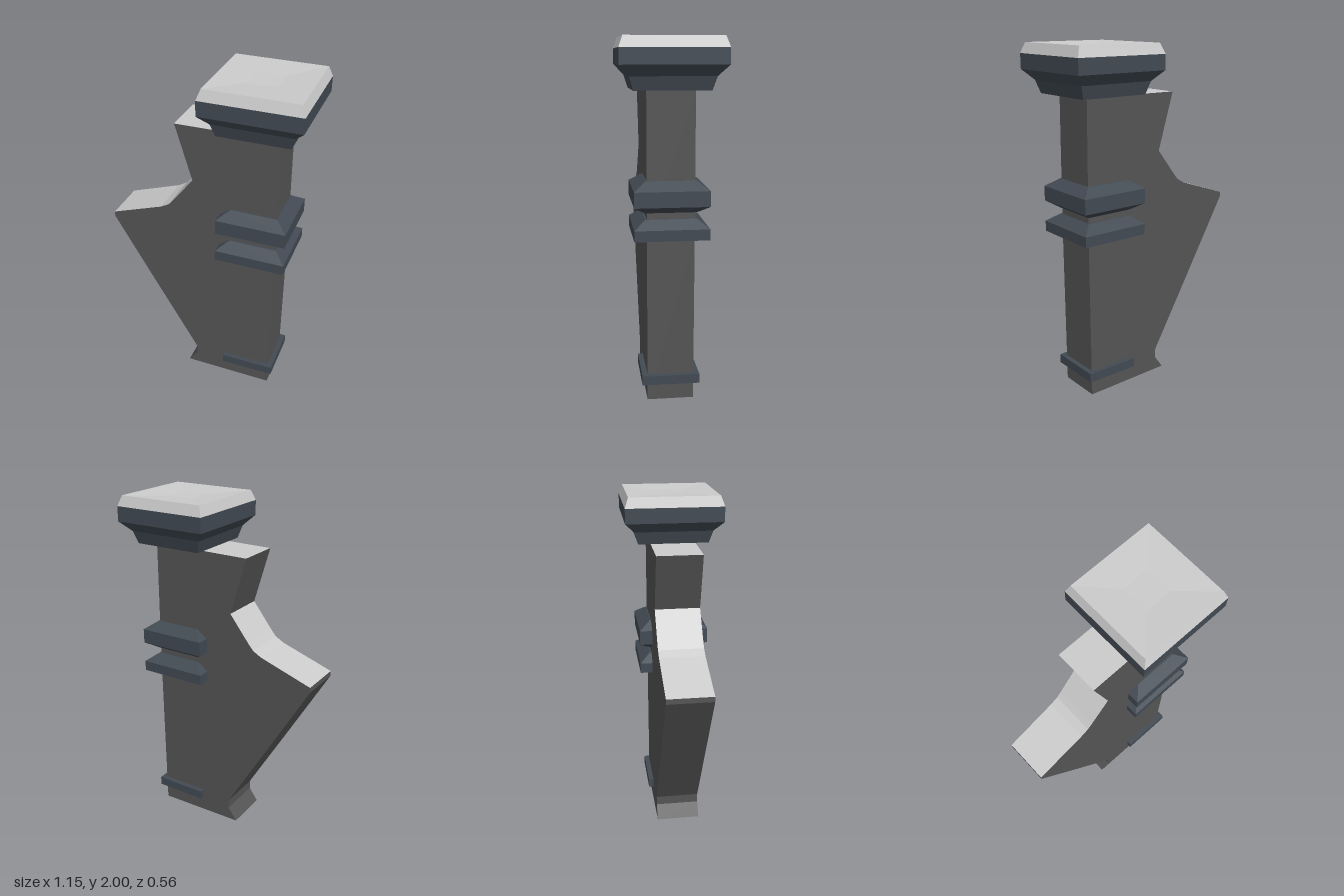
import * as THREE from 'three';

const material = (color) => new THREE.MeshStandardMaterial({ color, flatShading: true });
const COLUMN_X = 0.295;

// Square moulding from [half width, height] pairs, bottom to top
function squareMoulding(name, profile, mat) {
  const points = profile.map(([half, y]) => new THREE.Vector2(half * Math.SQRT2, y));
  const mesh = new THREE.Mesh(new THREE.LatheGeometry(points, 4, Math.PI / 4), mat);
  mesh.name = name;
  mesh.position.x = COLUMN_X;
  return mesh;
}

// Splits the triangles of a geometry into those that pass the test and the rest
function splitFaces(geometry, test) {
  const source = geometry.index ? geometry.toNonIndexed() : geometry;
  const pos = source.attributes.position;
  const lists = [[], []];
  const tri = new THREE.Triangle();
  const normal = new THREE.Vector3(), mid = new THREE.Vector3();
  for (let i = 0; i < pos.count; i += 3) {
    tri.setFromAttributeAndIndices(pos, i, i + 1, i + 2);
    tri.getNormal(normal);
    tri.getMidpoint(mid);
    const list = lists[test(normal, mid) ? 0 : 1];
    for (const p of [tri.a, tri.b, tri.c]) list.push(p.x, p.y, p.z);
  }
  return lists.map((list) => {
    const part = new THREE.BufferGeometry();
    part.setAttribute('position', new THREE.Float32BufferAttribute(list, 3));
    part.computeVertexNormals();
    return part;
  });
}

export function createModel() {
  const model = new THREE.Group();
  model.name = 'buttressPillar';
  const stone = material(0x555555);
  const ledge = material(0xcccccc);
  const trim = material(0x424a53);

  // Pillar with its stepped buttress, one flat slab
  const outline = [
    [0.425, 0], [0.43, 0.95], [0.425, 1.725], [-0.17, 1.72], [-0.07, 1.39],
    [-0.19, 1.235], [-0.22, 1.2], [-0.27, 1.172], [-0.58, 1.065], [-0.58, 1.035],
    [-0.32, 0.59], [-0.055, 0.14], [-0.055, 0.085], [-0.11, 0.008],
  ].map(([x, y]) => new THREE.Vector2(x, y));
  const depth = 0.26;
  const slab = new THREE.ExtrudeGeometry(new THREE.Shape(outline), { depth, bevelEnabled: false });
  slab.translate(0, 0, -depth / 2);

  // Upward faces of the buttress are pale weathered ledges
  const [ledges, walls] = splitFaces(slab, (n, mid) => n.y > 0.4 && mid.y > 1);
  const wallMesh = new THREE.Mesh(walls, stone);
  wallMesh.name = 'pillarBody';
  const ledgeMesh = new THREE.Mesh(ledges, ledge);
  ledgeMesh.name = 'buttressLedges';
  model.add(wallMesh, ledgeMesh);

  // Bands around the column
  model.add(
    squareMoulding('baseBand', [[0, 0.1], [0.16, 0.1], [0.16, 0.153], [0, 0.153]], trim),
    squareMoulding('lowerBand', [[0, 0.938], [0.203, 0.938], [0.203, 0.998], [0.14, 1.045], [0, 1.045]], trim),
    squareMoulding('upperBand',
      [[0, 1.08], [0.14, 1.08], [0.203, 1.12], [0.203, 1.205], [0.137, 1.252], [0, 1.252]], trim),
  );

  // Capital, with a shallow dished top
  model.add(
    squareMoulding('capital', [[0, 1.728], [0.203, 1.728], [0.225, 1.8], [0.279, 1.857], [0.279, 1.942]], trim),
    squareMoulding('capTop', [[0.279, 1.942], [0.258, 2], [0.08, 1.988], [0, 1.988]], ledge),
  );
  return model;
}
